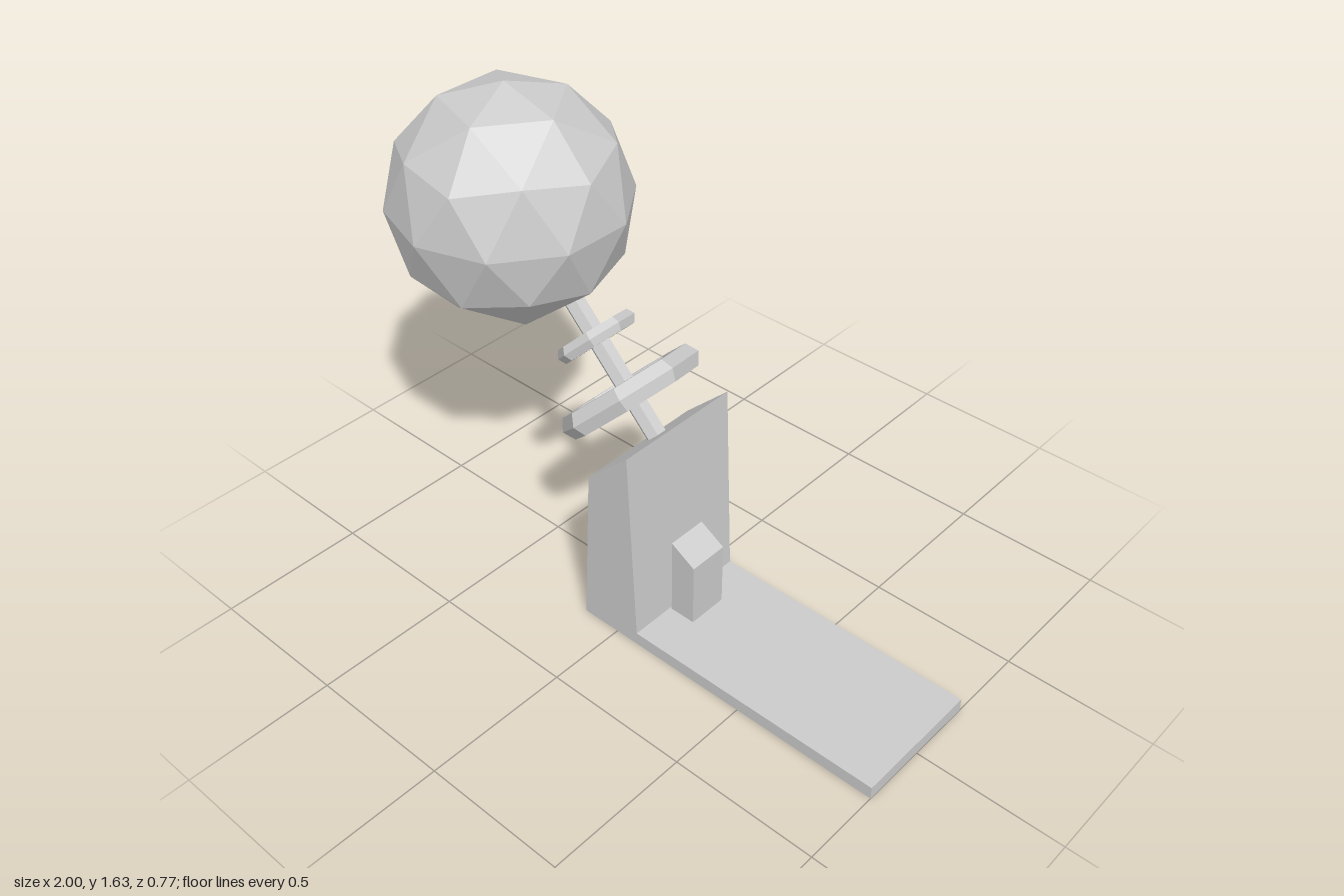
import * as THREE from 'three';

const grey = new THREE.MeshStandardMaterial({ color: 0xcccccc, flatShading: true });

function part(name, geometry, parent) {
  const mesh = new THREE.Mesh(geometry, grey);
  mesh.name = name;
  parent.add(mesh);
  return mesh;
}

// Side profile in x/y, extruded evenly about z = 0
function slab(points, depth) {
  const shape = new THREE.Shape(points.map(([x, y]) => new THREE.Vector2(x, y)));
  return new THREE.ExtrudeGeometry(shape, { depth, bevelEnabled: false }).translate(0, 0, -depth / 2);
}

// Eight-segment ring with a hexagonal section, lying flat around the stem
const ring = (radius, tube) => new THREE.TorusGeometry(radius, tube, 6, 8).rotateX(Math.PI / 2);

export function createModel() {
  const model = new THREE.Group();
  model.name = 'lever';

  // Foot plate and slanted upright in one piece
  part('stand', slab([
    [-0.14, 0], [1, 0], [1, 0.045], [0.085, 0.045], [0.053, 0.73], [-0.107, 0.577],
  ], 0.454), model);

  // Small block in front of the upright
  part('stopBlock', slab([[0.092, 0.04], [0.183, 0.04], [0.183, 0.272], [0.092, 0.325]], 0.14), model);

  // Tilted stem with its two rings
  const stem = new THREE.Group();
  stem.name = 'stem';
  stem.position.set(-0.145, 0.755, 0);
  stem.rotation.z = THREE.MathUtils.degToRad(44.7);
  model.add(stem);
  part('rod', new THREE.CylinderGeometry(0.035, 0.035, 0.58, 6).translate(0, 0.09, 0), stem);
  part('largeRing', ring(0.2, 0.045), stem);
  part('smallRing', ring(0.11, 0.028).translate(0, 0.198, 0), stem);

  // Faceted ball, turned so that one corner points straight up
  const ball = part('ball', new THREE.IcosahedronGeometry(0.387, 1), model);
  ball.position.set(-0.632, 1.245, 0);
  ball.rotation.z = -Math.atan(2 / (1 + Math.sqrt(5)));

  return model;
}
